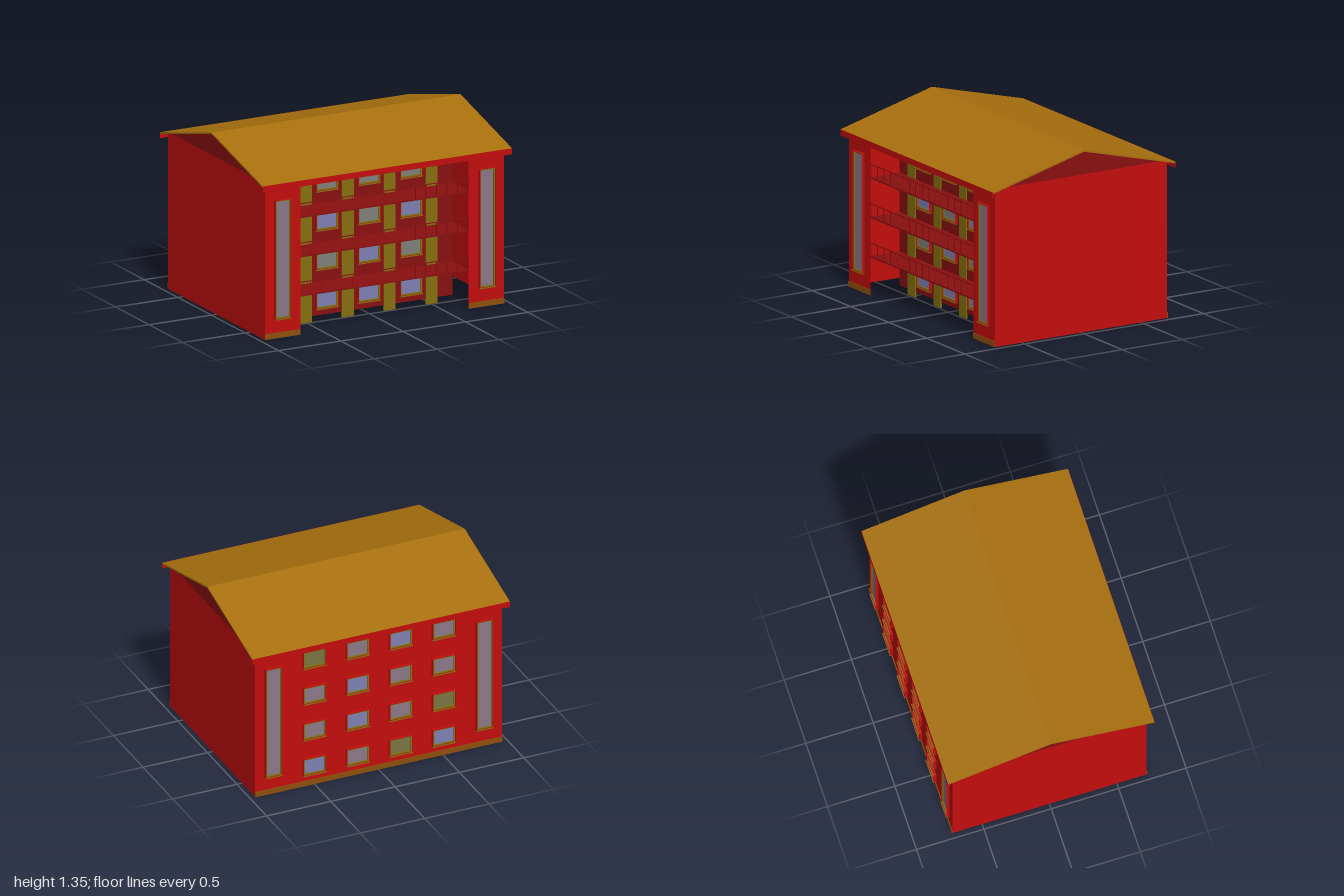
import * as THREE from 'three';

const mat = (color) => new THREE.MeshStandardMaterial({ color, side: THREE.DoubleSide });

export function createModel() {
  const model = new THREE.Group();
  const red = mat(0xc40d0d), darkRed = mat(0x8a0f10), olive = mat(0x7d7510);
  const doorMat = mat(0x85700f), brown = mat(0x8f500c), roofMat = mat(0xa8700e);
  const glass = { b: mat(0x8080b4), g: mat(0x80807c), m: mat(0x8c7888), o: mat(0x7c7444) };

  const add = (parent, name, geometry, material, x = 0, y = 0, z = 0) => {
    const mesh = new THREE.Mesh(geometry, material);
    mesh.name = name;
    mesh.position.set(x, y, z);
    parent.add(mesh);
    return mesh;
  };
  const box = (parent, name, w, h, d, material, x, y, z) =>
    add(parent, name, new THREE.BoxGeometry(w, h, d), material, x, y, z);

  // Rectangular ring, extruded forward
  const ring = (w, h, t, depth) => {
    const rect = (Type, a, b) => new Type([[-a, -b], [a, -b], [a, b], [-a, b]].map((p) => new THREE.Vector2(...p)));
    const shape = rect(THREE.Shape, w / 2, h / 2);
    shape.holes.push(rect(THREE.Path, w / 2 - t, h / 2 - t));
    return new THREE.ExtrudeGeometry(shape, { depth, bevelEnabled: false });
  };

  // Window facing +z, or -z when back is true
  const addWindow = (name, x, y, z, w, h, pane, back = false) => {
    const g = new THREE.Group();
    g.name = name;
    g.position.set(x, y, z);
    if (back) g.rotation.y = Math.PI;
    add(g, 'casing', ring(w, h, 0.005, 0.02), red);
    add(g, 'frame', ring(w - 0.01, h - 0.01, 0.009, 0.014), olive);
    box(g, 'backing', w - 0.01, h - 0.01, 0.006, olive, 0, 0, 0);
    add(g, 'pane', new THREE.PlaneGeometry(w - 0.028, h - 0.028), glass[pane], 0, 0, 0.005);
    box(g, 'sill', w, 0.006, 0.025, olive, 0, -h / 2, 0.0125);
    model.add(g);
  };

  const HX = 0.96, HZ = 0.72, TOP = 1.157, RECESS = 0.48, WING = 0.675, BASE = 0.04;
  const wallH = TOP - BASE, wallY = (TOP + BASE) / 2;

  // Outer walls, base strips and gables
  add(model, 'backWall', new THREE.PlaneGeometry(2 * HX, wallH), red, 0, wallY, -HZ);
  box(model, 'backBase', 2 * HX, BASE, 0.006, brown, 0, BASE / 2, -HZ - 0.003);
  add(model, 'recessedWall', new THREE.PlaneGeometry(2 * WING, wallH), darkRed, 0, wallY, RECESS);
  const gable = new THREE.Shape([[-HZ, TOP], [HZ, TOP], [0, 1.336]].map((p) => new THREE.Vector2(...p)));
  for (const s of [-1, 1]) {
    const wingX = s * (HX + WING) / 2;
    add(model, 'sideWall', new THREE.PlaneGeometry(2 * HZ, TOP), red, s * HX, TOP / 2, 0).rotation.y = s * Math.PI / 2;
    add(model, 'gable', new THREE.ShapeGeometry(gable), darkRed, s * HX, 0, 0).rotation.y = s * Math.PI / 2;
    add(model, 'wingWall', new THREE.PlaneGeometry(HX - WING, wallH), red, wingX, wallY, HZ);
    box(model, 'wingBase', HX - WING, BASE, 0.006, brown, wingX, BASE / 2, HZ + 0.003);
    // Tall stair windows, front and back
    for (const z of [-HZ, HZ]) addWindow('tallWindow', s * 0.82, 0.58, z, 0.13, 0.88, 'm', z < 0);
  }

  // Ceiling under the roof
  add(model, 'ceiling', new THREE.PlaneGeometry(2 * HX, 2 * HZ), darkRed, 0, TOP - 0.006, 0).rotation.x = Math.PI / 2;

  // Four floors of windows and doors; each string is one row from left to right
  const floorH = 0.289;
  const frontPanes = ['bbb', 'gbg', 'bgb', 'ggg'];
  const backPanes = ['bmob', 'mbmo', 'mbmm', 'ombm'];
  for (let f = 0; f < 4; f++) {
    const winY = 0.157 + f * floorH;
    [...frontPanes[f]].forEach((p, i) => addWindow('frontWindow', (i - 1) * 0.337, winY, RECESS, 0.18, 0.137, p));
    [...backPanes[f]].forEach((p, i) => addWindow('backWindow', (1.5 - i) * 0.335, winY, -HZ, 0.18, 0.137, p, true));
    const doorBottom = f ? f * floorH : 0, doorTop = 0.203 + f * floorH;
    for (const x of [-0.505, -0.168, 0.168, 0.505]) {
      box(model, 'door', 0.095, doorTop - doorBottom, 0.012, doorMat, x, (doorTop + doorBottom) / 2, RECESS + 0.002);
    }
  }

  // Balconies: floor slab, thin posts and hand rail
  for (let f = 1; f < 4; f++) {
    const g = new THREE.Group();
    g.name = 'balcony';
    g.position.y = f * floorH - 0.006;
    box(g, 'slab', 2 * WING, 0.01, HZ - RECESS, darkRed, 0, 0, (HZ + RECESS) / 2);
    box(g, 'rail', 2 * WING, 0.006, 0.006, darkRed, 0, 0.1, HZ - 0.003);
    for (let i = 0; i <= 16; i++) {
      box(g, 'post', 0.004, 0.1, 0.004, darkRed, (i / 8 - 1) * (WING - 0.002), 0.05, HZ - 0.003);
    }
    model.add(g);
  }

  // Roof as a thin bent sheet with eave boards
  const profile = [[-0.765, 1.148], [0, 1.346], [0.765, 1.148], [0.765, 1.136], [0, 1.334], [-0.765, 1.136]];
  const roof = new THREE.ExtrudeGeometry(
    new THREE.Shape(profile.map((p) => new THREE.Vector2(...p))), { depth: 2, bevelEnabled: false });
  roof.translate(0, 0, -1).rotateY(Math.PI / 2);
  add(model, 'roof', roof, roofMat);
  for (const s of [-1, 1]) box(model, 'eaveBoard', 2, 0.044, 0.005, red, 0, 1.126, s * 0.764);

  return model;
}
